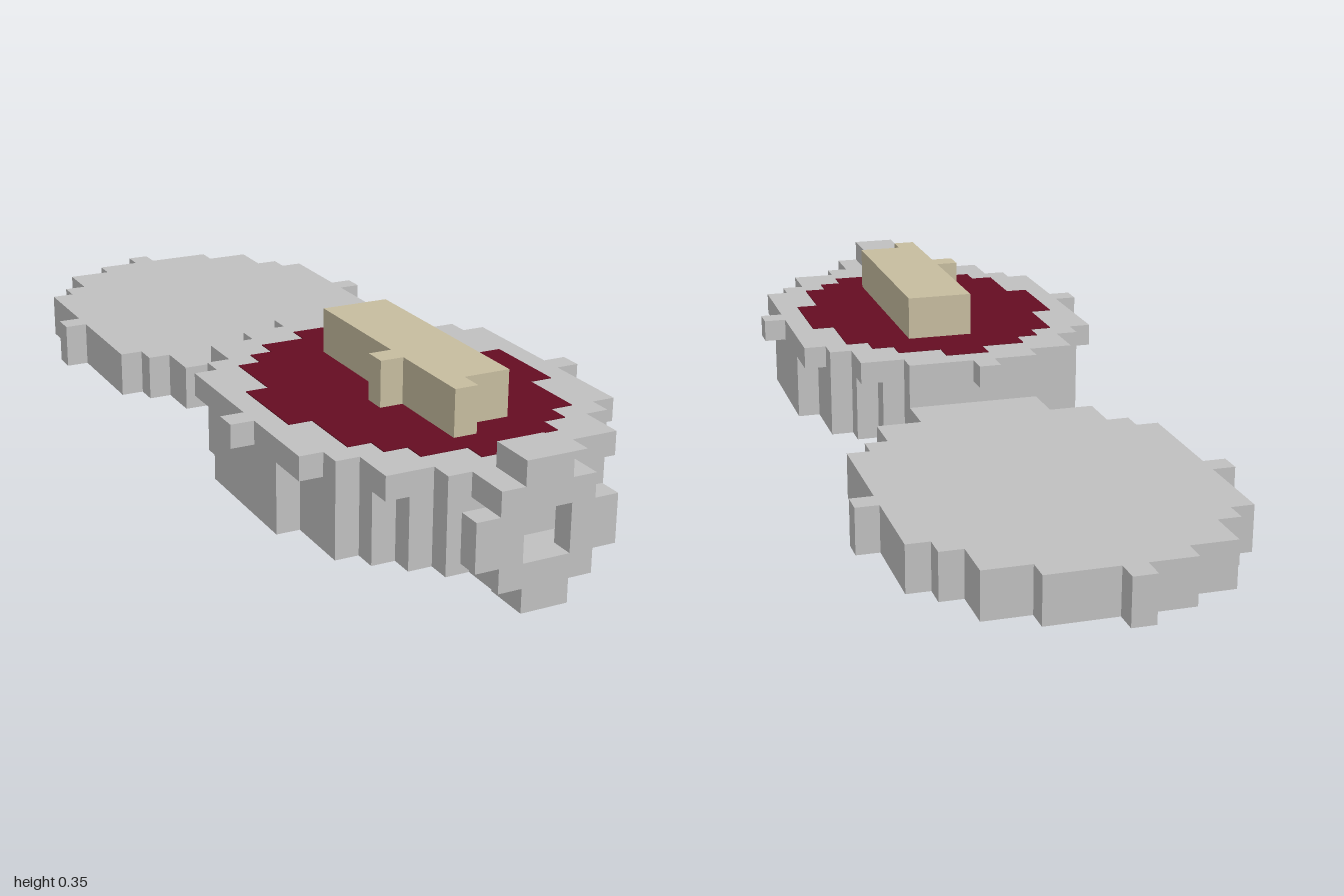
import * as THREE from 'three';

const mat = (name, color) => {
  const m = new THREE.MeshStandardMaterial({ color });
  m.name = name;
  return m;
};

export function createModel() {
  const silver = mat('silver grey', 0xc0c0c0);
  const red = mat('dark red', 0x650d22);
  const tan = mat('pale tan', 0xc6bc9f);
  const model = new THREE.Group();
  model.name = 'openPocketCase';

  // Stepped outline: rows of [zStart, halfWidth], closed at zEnd, extruded from y0 to y1
  function slab(name, rows, zEnd, y0, y1, material) {
    const right = [];
    rows.forEach(([z, w], i) => {
      const next = i + 1 < rows.length ? rows[i + 1][0] : zEnd;
      right.push([w, z], [w, next]);
    });
    const left = right.map(([x, z]) => [-x, z]).reverse();
    const shape = new THREE.Shape([...right, ...left].map(([x, z]) => new THREE.Vector2(x, -z)));
    const geo = new THREE.ExtrudeGeometry(shape, { depth: y1 - y0, bevelEnabled: false });
    geo.rotateX(-Math.PI / 2);
    geo.translate(0, y0, 0);
    const mesh = new THREE.Mesh(geo, material);
    mesh.name = name;
    model.add(mesh);
  }

  // Box given by its limits on each axis
  function box(name, x0, x1, y0, y1, z0, z1, material = silver) {
    const mesh = new THREE.Mesh(new THREE.BoxGeometry(x1 - x0, y1 - y0, z1 - z0), material);
    mesh.position.set((x0 + x1) / 2, (y0 + y1) / 2, (z0 + z1) / 2);
    mesh.name = name;
    model.add(mesh);
  }

  // Open lid lying behind the case
  slab('lid', [[-0.95, 0.15], [-0.9, 0.25], [-0.8, 0.3], [-0.75, 0.35], [-0.55, 0.4], [-0.5, 0.35],
    [-0.25, 0.3], [-0.2, 0.25], [-0.1, 0.15]], 0, 0.05, 0.15, silver);
  box('lidCatch', -0.05, 0, 0.05, 0.15, -1, -0.95);

  // Case wall and the wider rim above it
  slab('caseWall', [[0, 0.15], [0.05, 0.2], [0.1, 0.25], [0.15, 0.3], [0.3, 0.35], [0.6, 0.3],
    [0.75, 0.25], [0.8, 0.2], [0.85, 0.15]], 0.9, 0.05, 0.2, silver);
  slab('caseRim', [[0, 0.15], [0.05, 0.25], [0.15, 0.3], [0.2, 0.35], [0.45, 0.4], [0.5, 0.35],
    [0.7, 0.3], [0.75, 0.25], [0.85, 0.15]], 0.9, 0.2, 0.25, silver);
  box('rimCatch', -0.05, 0, 0.2, 0.25, -0.05, 0);

  // Dial face
  slab('dial', [[0.05, 0.05], [0.1, 0.15], [0.15, 0.2], [0.2, 0.25], [0.35, 0.3], [0.55, 0.25],
    [0.7, 0.2], [0.75, 0.15], [0.8, 0.05]], 0.85, 0.249, 0.252, red);

  // Raised hand block
  box('hand', -0.05, 0.1, 0.25, 0.35, 0.2, 0.7, tan);
  box('handTip', -0.05, 0, 0.25, 0.35, 0.7, 0.75, tan);
  box('handPin', -0.1, -0.05, 0.25, 0.35, 0.5, 0.55, tan);

  // Crown ring at the front, open in the middle
  for (const [inner, outer, y] of [['Lower', 'Bottom', 0.05], ['Upper', 'Top', 0.2]]) {
    box('crown' + inner, -0.1, 0.1, y, y + 0.05, 0.9, 1);
    const tipY = y < 0.1 ? 0 : 0.25;
    box('crown' + outer, -0.05, 0.05, tipY, tipY + 0.05, 0.9, 1);
  }
  for (const s of [-1, 1]) {
    box(s > 0 ? 'crownLeft' : 'crownRight', s * 0.1 - 0.05, s * 0.1 + 0.05, 0.1, 0.2, 0.95, 1);
  }
  return model;
}
